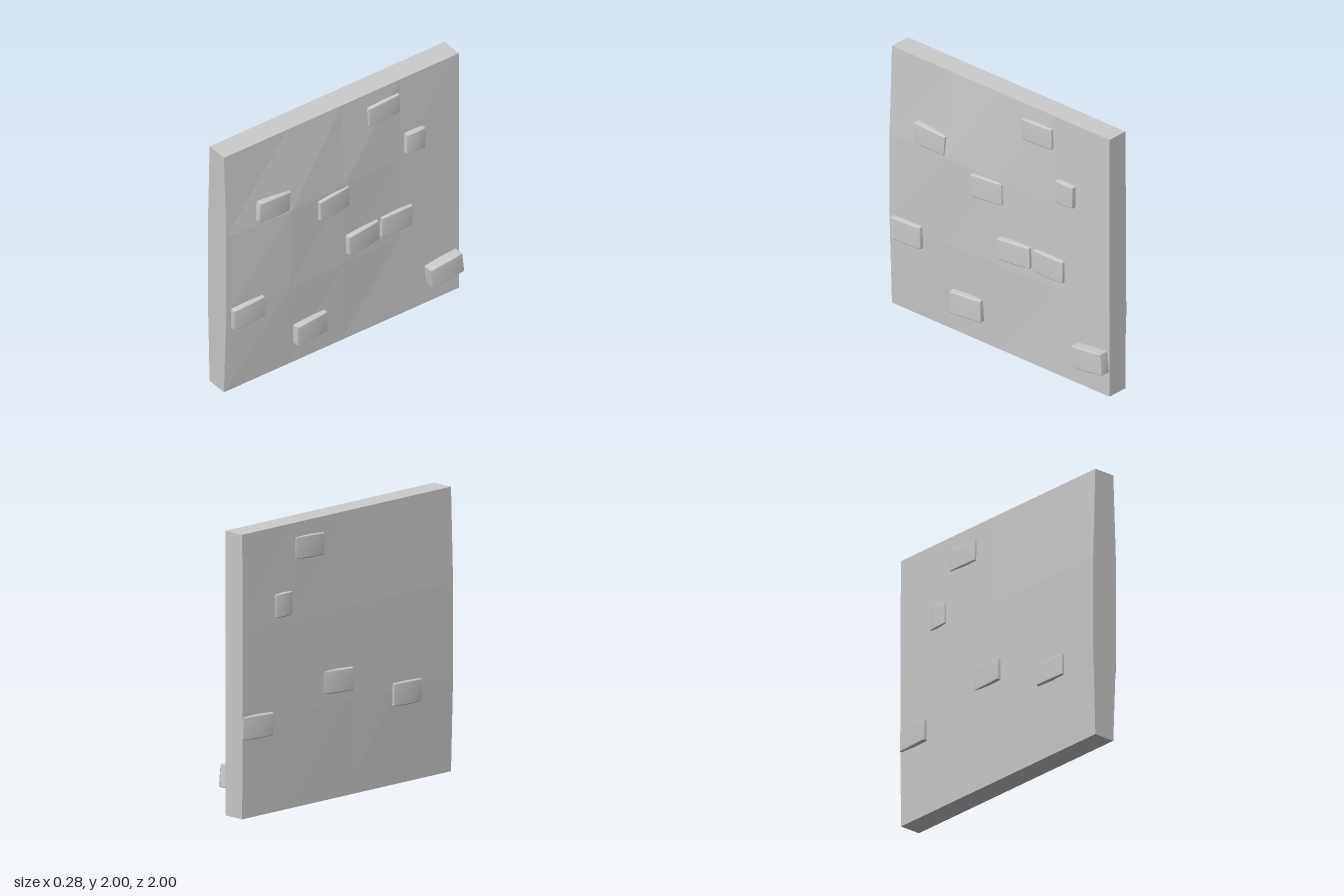
import * as THREE from 'three';
import { mergeVertices } from 'three/addons/utils/BufferGeometryUtils.js';

const DEPTH = 0.09;

// Slab with slightly bulging broad faces
function slabGeometry() {
  const zCols = [-1, -0.5, 0, 0.46, 1];
  const right = [ // x of the right face, one row per height, one entry per column
    [0.06, 0.06, 0.06, 0.06, 0.06],
    [0.06, 0.065, 0.085, 0.095, 0.085],
    [0.06, 0.065, 0.09, 0.11, 0.085],
    [0.06, 0.06, 0.06, 0.06, 0.06],
  ];
  const g = new THREE.BoxGeometry(1, 2, 2, 1, 3, 4);
  const p = g.attributes.position;
  for (let i = 0; i < p.count; i++) {
    const row = Math.round((p.getY(i) + 1) * 1.5);
    const col = Math.round((p.getZ(i) + 1) * 2);
    const middle = row === 1 || row === 2;
    const left = middle ? -0.108 - 0.004 * col : -0.104;
    p.setXYZ(i, p.getX(i) > 0 ? right[row][col] : left, row * 2 / 3, zCols[col]);
  }
  g.computeVertexNormals();
  return g;
}

// Brick with small softened edges and smooth shading
function brickGeometry(height, width) {
  const size = [DEPTH, height, width];
  const bevel = 0.012;
  let g = new THREE.BoxGeometry(1, 1, 1, 3, 3, 2);
  g.deleteAttribute('normal');
  g.deleteAttribute('uv');
  g = mergeVertices(g);
  const p = g.attributes.position;
  for (let i = 0; i < p.count; i++) {
    const v = [p.getX(i), p.getY(i), p.getZ(i)];
    const outer = v.filter((c) => Math.abs(c) > 0.49).length;
    const inset = outer === 3 ? bevel * 0.6 : outer === 2 ? bevel * 0.4 : 0;
    const moved = v.map((c, k) => {
      if (Math.abs(c) < 0.01) return 0;
      const half = size[k] / 2;
      return Math.sign(c) * (Math.abs(c) > 0.49 ? half - inset : half - bevel);
    });
    p.setXYZ(i, ...moved);
  }
  g.computeVertexNormals();
  return g;
}

export function createModel() {
  const model = new THREE.Group();
  const slab = new THREE.Mesh(
    slabGeometry(),
    new THREE.MeshStandardMaterial({ color: 0xcccccc, flatShading: true })
  );
  slab.name = 'wallSlab';
  model.add(slab);

  const brickMaterial = new THREE.MeshStandardMaterial({ color: 0xcccccc });
  // side, z, y, width, height, outermost x, tilt about y, roll about x
  const bricks = [
    [1, -0.35, 1.815, 0.27, 0.165, 0.095, 0.03, 0.03],
    [1, 0.61, 1.44, 0.275, 0.165, 0.135, 0.06, -0.08],
    [1, -0.61, 1.445, 0.16, 0.175, 0.105, 0.02, -0.02],
    [1, 0.095, 1.23, 0.27, 0.175, 0.13, 0.1, 0.03],
    [1, -0.155, 0.825, 0.275, 0.17, 0.13, 0.11, 0.03],
    [1, -0.455, 0.825, 0.27, 0.175, 0.1, 0.03, -0.02],
    [1, 0.825, 0.63, 0.27, 0.175, 0.13, 0.02, 0.03],
    [1, 0.285, 0.25, 0.27, 0.175, 0.13, 0.08, 0.03],
    [1, -0.85, 0.253, 0.275, 0.17, 0.14, 0.01, 0.11],
    [-1, -0.355, 1.815, 0.27, 0.165, 0.125, 0.03, 0.03],
    [-1, -0.61, 1.445, 0.16, 0.175, 0.128, 0.04, -0.02],
    [-1, -0.095, 0.825, 0.27, 0.17, 0.145, 0.09, 0.03],
    [-1, 0.56, 0.633, 0.27, 0.17, 0.142, 0.01, 0.02],
    [-1, -0.86, 0.633, 0.275, 0.17, 0.143, 0.08, 0.02],
  ];
  bricks.forEach(([side, z, y, width, height, out, tilt, roll], i) => {
    const brick = new THREE.Mesh(brickGeometry(height, width), brickMaterial);
    brick.name = `${side > 0 ? 'left' : 'right'}Brick${i + 1}`;
    brick.position.set(side * (out - DEPTH / 2 - tilt * width * 0.46), y, z);
    brick.rotation.set(roll, side * tilt, 0, 'YXZ');
    model.add(brick);
  });
  return model;
}
